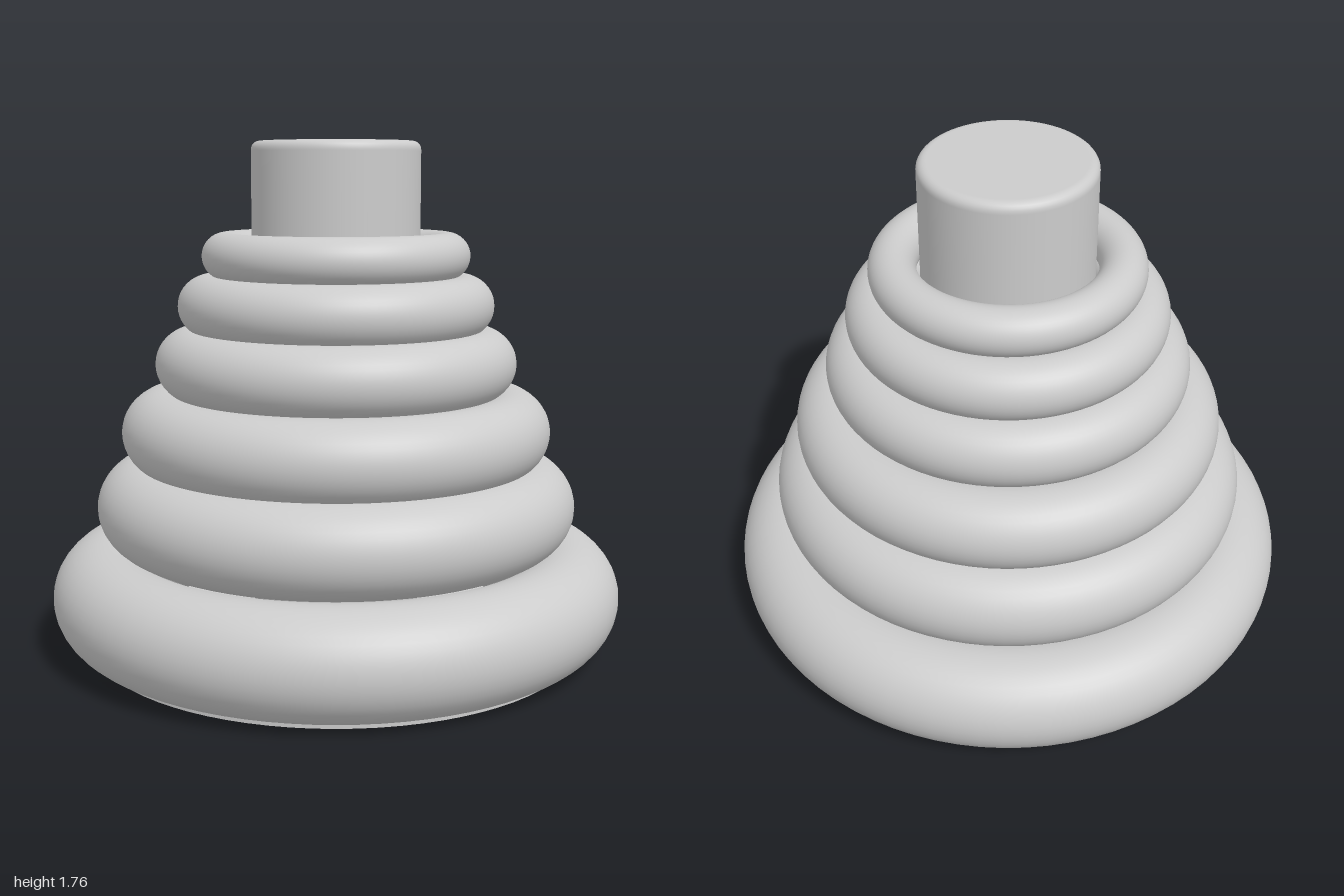
import * as THREE from 'three';

export function createModel() {
  const model = new THREE.Group();
  const material = new THREE.MeshStandardMaterial({ color: 0xcccccc });
  const add = (name, geometry, y) => {
    const mesh = new THREE.Mesh(geometry, material);
    mesh.name = name;
    mesh.position.y = y;
    model.add(mesh);
  };

  // Flat disc the stack stands on
  add('baseDisc', new THREE.CylinderGeometry(0.865, 0.865, 0.04, 80), 0.02);

  // Stacked rings, largest first: outer radius, tube radius, centre height
  const rings = [
    [1.0, 0.181, 0.189],
    [0.84, 0.155, 0.5],
    [0.75, 0.14, 0.76],
    [0.63, 0.12, 0.995],
    [0.55, 0.105, 1.195],
    [0.465, 0.081, 1.366],
  ];
  rings.forEach(([outer, tube, y], i) => {
    const geometry = new THREE.TorusGeometry(outer - tube, tube, 40, 80);
    geometry.rotateX(Math.PI / 2);
    add(`ring${i + 1}`, geometry, y);
  });

  // Central post with a rounded top edge
  const radius = 0.292, top = 1.757, round = 0.03;
  const wall = [new THREE.Vector2(radius, 0.03), new THREE.Vector2(radius, top - round - 0.005)];
  for (let i = 0; i <= 6; i++) {
    const a = (i / 6) * Math.PI / 2;
    wall.push(new THREE.Vector2(radius - round + round * Math.cos(a), top - round + round * Math.sin(a)));
  }
  wall.push(new THREE.Vector2(radius - round - 0.005, top), new THREE.Vector2(0, top));
  add('centralPost', new THREE.LatheGeometry(wall, 64), 0);

  return model;
}
